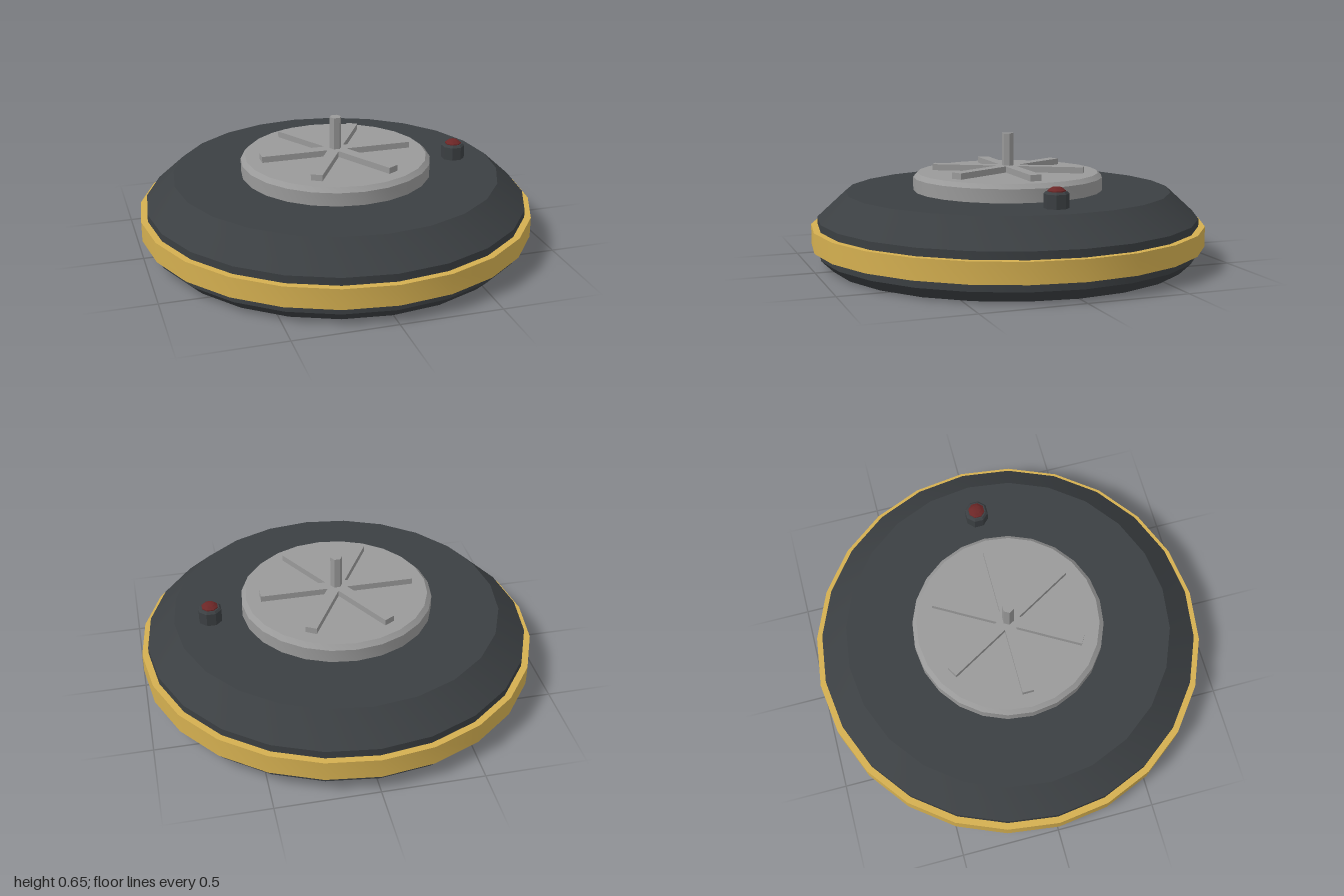
import * as THREE from 'three';
import { toCreasedNormals } from 'three/addons/utils/BufferGeometryUtils.js';

const material = (color) => new THREE.MeshStandardMaterial({ color });

// Turned part: profile of [radius, height] from bottom to top, bevels kept sharp
function turned(name, profile, sides, mat, phase = 0) {
  const points = profile.map(([r, y]) => new THREE.Vector2(r, y));
  const geometry = toCreasedNormals(new THREE.LatheGeometry(points, sides, phase), 0.5);
  const mesh = new THREE.Mesh(geometry, mat);
  mesh.name = name;
  return mesh;
}

export function createModel() {
  const model = new THREE.Group();
  model.name = 'disc';
  const dark = material(0x3b3f42);
  const gold = material(0xd4af50);
  const steel = material(0x999999);
  const red = material(0x6b2626);

  // Bevelled main body
  model.add(turned('body',
    [[0, 0], [0.91, 0], [0.967, 0.055], [0.967, 0.235], [0.825, 0.365], [0, 0.365]], 24, dark));

  // Band around the rim
  model.add(turned('rimBand',
    [[0.95, 0.095], [1, 0.095], [1, 0.197], [0.95, 0.197]], 24, gold));

  // Raised pressure plate
  model.add(turned('pressurePlate',
    [[0, 0.36], [0.482, 0.36], [0.482, 0.432], [0.46, 0.454], [0, 0.454]], 24, steel));

  // Three crossing bars form six raised ribs
  const ribs = new THREE.Group();
  ribs.name = 'ribs';
  for (let i = 0; i < 3; i++) {
    const rib = new THREE.Mesh(new THREE.BoxGeometry(0.776, 0.04, 0.058), steel);
    rib.name = 'rib';
    rib.position.y = 0.465;
    rib.rotation.y = (i * Math.PI) / 3;
    ribs.add(rib);
  }
  model.add(ribs);

  // Hexagonal centre pin
  model.add(turned('centrePin',
    [[0, 0.45], [0.03, 0.45], [0.03, 0.65], [0, 0.65]], 6, steel, Math.PI / 6));

  // Indicator light on the left side
  const light = new THREE.Group();
  light.name = 'indicatorLight';
  light.position.x = 0.643;
  light.add(
    turned('lightHousing',
      [[0, 0.36], [0.06, 0.36], [0.06, 0.432], [0.05, 0.442], [0, 0.442]], 8, dark, Math.PI / 8),
    turned('lightLens',
      [[0, 0.435], [0.042, 0.435], [0.042, 0.447], [0.025, 0.46], [0, 0.465]], 8, red, Math.PI / 8));
  model.add(light);

  return model;
}
